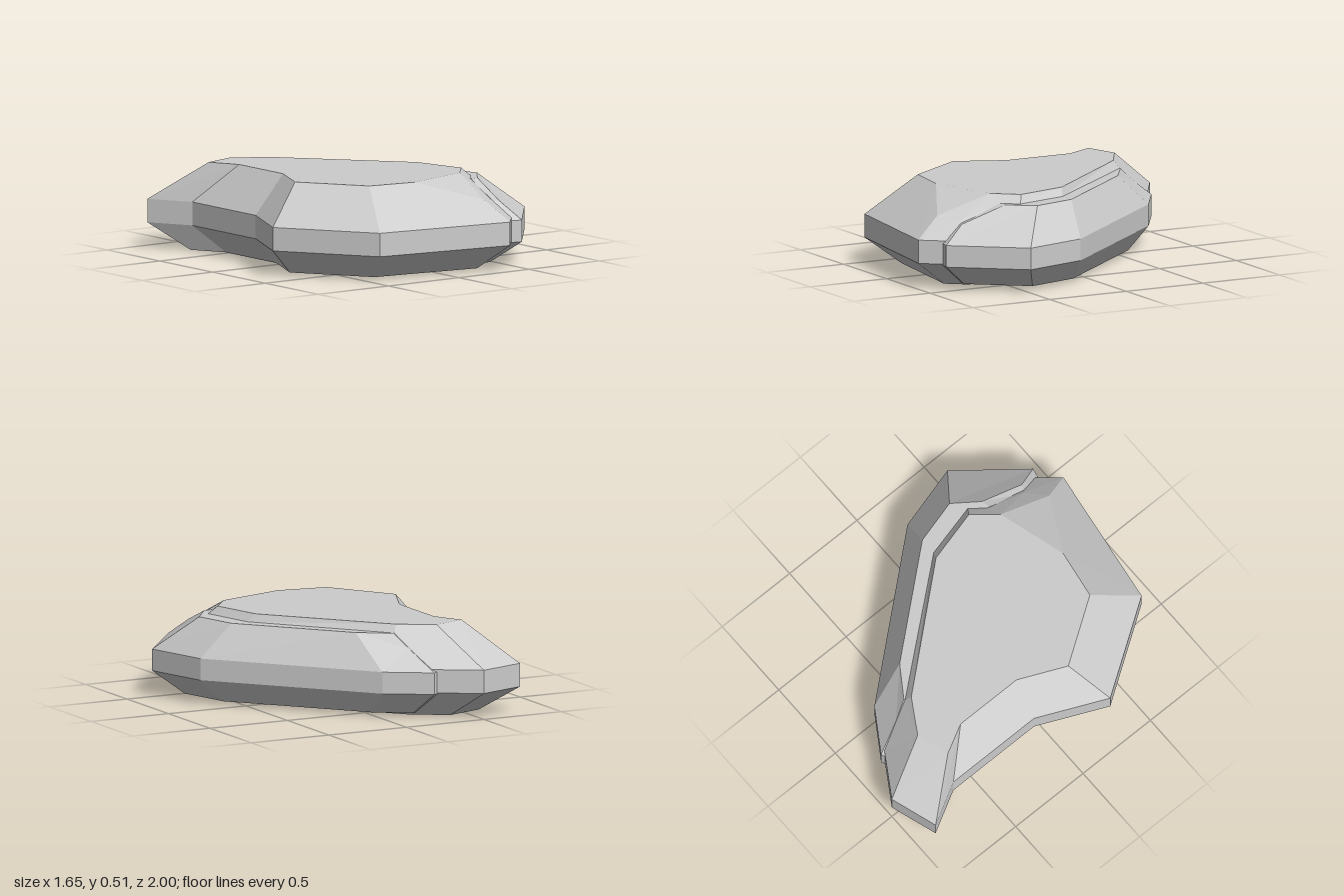
import * as THREE from 'three';

const material = new THREE.MeshStandardMaterial({ color: 0xcccccc, flatShading: true });

// Faceted slab from corner columns, listed counter-clockwise seen from above.
// Each column: [outer [x, z], top [x, z, y?], optional shoulder [x, y, z]]
function slab(name, columns, { base, low, mid, top, inset }) {
  const rings = [[], [], [], [], []];
  for (const [[x, z], t, shoulder] of columns) {
    const upper = new THREE.Vector3(t[0], t[2] ?? top, t[1]);
    rings[0].push(new THREE.Vector3(x * inset, base, z * inset));
    rings[1].push(new THREE.Vector3(x, low, z));
    rings[2].push(new THREE.Vector3(x, mid, z));
    rings[3].push(shoulder ? new THREE.Vector3(...shoulder) : upper);
    rings[4].push(upper);
  }
  const pos = [];
  const tri = (a, b, c) => {
    const area = b.clone().sub(a).cross(c.clone().sub(a)).length();
    if (area > 1e-7) for (const p of [a, b, c]) pos.push(p.x, p.y, p.z);
  };

  // walls and bevels
  const n = columns.length;
  for (let r = 0; r < 4; r++) {
    for (let i = 0; i < n; i++) {
      const j = (i + 1) % n;
      const [a, b, c, d] = [rings[r][i], rings[r][j], rings[r + 1][j], rings[r + 1][i]];
      tri(a, b, c);
      tri(a, c, d);
    }
  }

  // flat top and bottom
  const cap = (ring, up) => {
    const pts = ring.filter((p, i) => p.distanceTo(ring[(i + 1) % n]) > 1e-5);
    const flat = pts.map((p) => new THREE.Vector2(p.x, -p.z));
    for (const [i, j, k] of THREE.ShapeUtils.triangulateShape(flat, [])) {
      const ccw = flat[j].clone().sub(flat[i]).cross(flat[k].clone().sub(flat[i])) > 0;
      if (ccw === up) tri(pts[i], pts[j], pts[k]);
      else tri(pts[i], pts[k], pts[j]);
    }
  };
  cap(rings[4], true);
  cap(rings[0], false);

  const geometry = new THREE.BufferGeometry();
  geometry.setAttribute('position', new THREE.Float32BufferAttribute(pos, 3));
  geometry.computeVertexNormals();
  const mesh = new THREE.Mesh(geometry, material);
  mesh.name = name;
  return mesh;
}

export function createModel() {
  const group = new THREE.Group();
  group.name = 'rock';

  // large slab with a hooked back end and a chipped front corner
  group.add(slab('mainSlab', [
    [[-0.78, -0.91], [-0.555, -0.63]],
    [[-0.645, -0.665], [-0.465, -0.46]],
    [[-0.645, -0.065], [-0.465, -0.045]],
    [[-0.83, 0.345], [-0.59, 0.235]],
    [[-0.47, 0.88], [-0.34, 0.605]],
    [[0.365, 1.0], [-0.05, 0.65]],
    [[0.365, 1.0], [0.3, 0.84, 0.4]],
    [[0.465, 0.88], [0.36, 0.53], [0.41, 0.39, 0.74]],
    [[0.55, 0.68], [0.36, 0.53], [0.45, 0.47, 0.5]],
    [[0.68, 0.46], [0.475, 0.39], [0.52, 0.465, 0.42]],
    [[0.58, 0.12], [0.395, 0.08], [0.44, 0.465, 0.1]],
    [[-0.25, -0.845], [-0.16, -0.57], [-0.14, 0.465, -0.6]],
    [[-0.5, -1.0], [-0.36, -0.69]],
  ], { base: 0, low: 0.15, mid: 0.285, top: 0.51, inset: 0.79 }));

  // lower slab split off along the left side
  group.add(slab('sideSlab', [
    [[0.45, 0.89], [0.45, 0.52], [0.41, 0.37, 0.75]],
    [[0.52, 0.905], [0.5, 0.51], [0.46, 0.37, 0.77]],
    [[0.825, 0.525], [0.61, 0.36]],
    [[0.72, 0.14], [0.54, 0.1]],
    [[0.0, -0.71], [0.05, -0.48]],
    [[-0.25, -0.87], [-0.13, -0.6], [-0.18, 0.385, -0.7]],
    [[-0.28, -0.855], [-0.15, -0.59], [-0.21, 0.375, -0.7]],
  ], { base: 0.015, low: 0.145, mid: 0.27, top: 0.465, inset: 0.81 }));

  return group;
}
